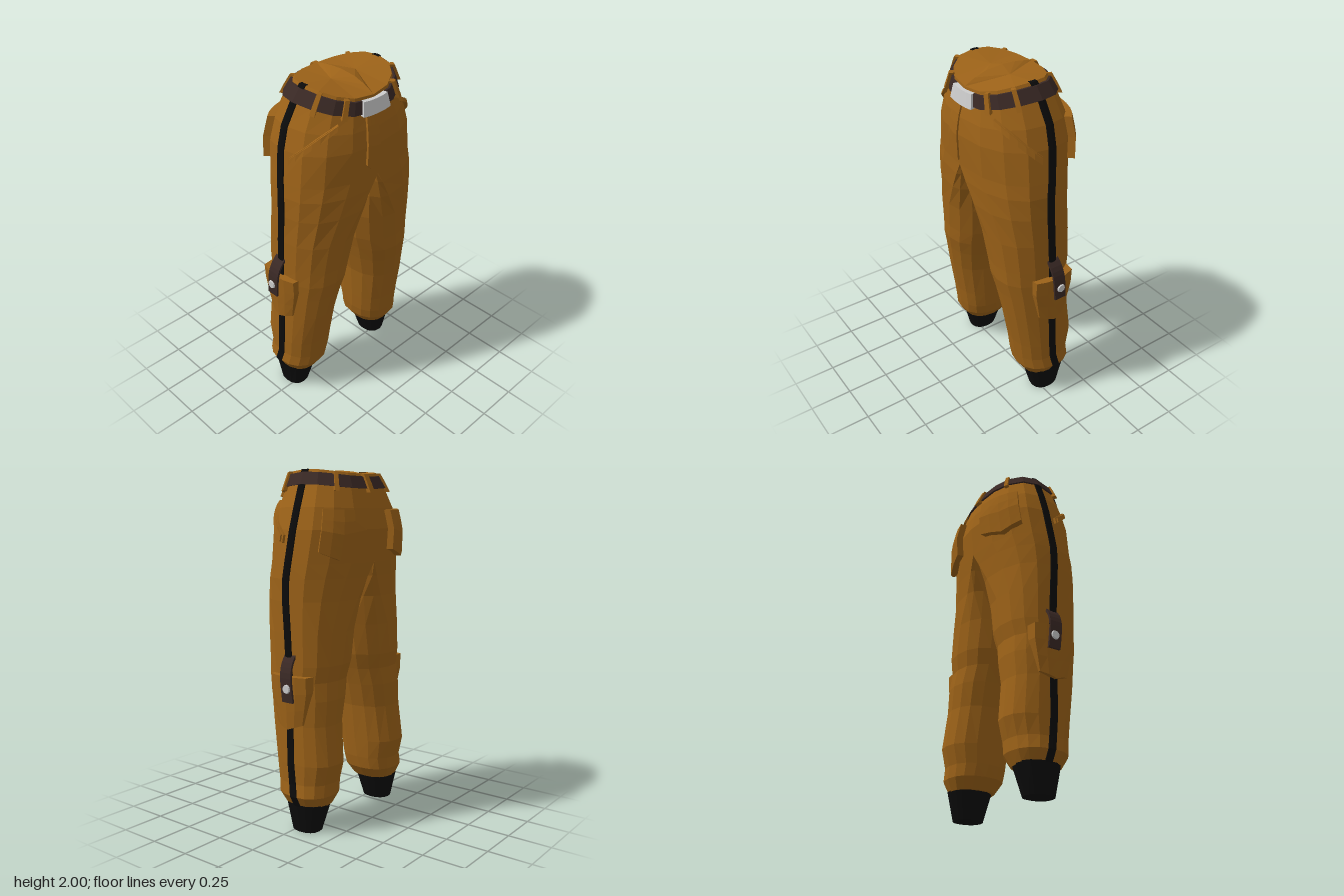
import * as THREE from 'three';

const SIDES = 16, RAD = Math.PI / 180;
const lerp = (a, b, t) => a + (b - a) * t;
const mat = (color) => new THREE.MeshStandardMaterial({ color, flatShading: true });

// Half of the trousers, bottom to top:
// [y, xBack, xMid, xFront, zOuter, zMid, zInner, tilt of the ring towards the waist]
const BODY = [
  [0.155, -0.17, -0.045, 0.09, 0.432, 0.32, 0.205, 0],
  [0.22, -0.2, -0.045, 0.132, 0.468, 0.31, 0.16, 0],
  [0.29, -0.2, -0.03, 0.142, 0.456, 0.3, 0.148, 0],
  [0.4, -0.227, -0.02, 0.155, 0.456, 0.3, 0.138, 0],
  [0.62, -0.2, -0.012, 0.192, 0.45, 0.29, 0.118, 0],
  [0.76, -0.202, -0.01, 0.215, 0.448, 0.27, 0.085, 0],
  [0.86, -0.19, -0.008, 0.236, 0.447, 0.25, 0.058, 0],
  [0.95, -0.207, -0.005, 0.24, 0.446, 0.235, 0.03, 0],
  [1.13, -0.21, 0.005, 0.257, 0.445, 0.2, 0.002, 0],
  [1.3, -0.22, 0.017, 0.282, 0.444, 0.11, 0, 0],
  [1.42, -0.237, 0.018, 0.294, 0.44, 0.045, 0, 0],
  [1.5, -0.25, 0.01, 0.297, 0.432, 0, 0, 0],
  [1.68, -0.267, -0.005, 0.302, 0.406, 0, 0, 0],
  [1.8, -0.243, -0.008, 0.288, 0.372, 0, 0, 0.4],
  [1.92, -0.205, 0.005, 0.264, 0.315, 0, 0, 1],
  [2.0, -0.165, 0.02, 0.25, 0.268, 0, 0, 1],
];

const CUFF = [
  [0.0, -0.13, -0.045, 0.04, 0.415, 0.345, 0.272, 0],
  [0.165, -0.172, -0.045, 0.08, 0.44, 0.33, 0.22, 0],
];

// Point on a ring at an angle: 0 = front, 90 = outer side, 180 = back
function ringPoint([y, xb, xm, xf, zo, zm, zi, tilt], deg, off = 0) {
  const c = Math.cos(deg * RAD), s = Math.sin(deg * RAD);
  const round = (v) => (Math.abs(v) < 1e-6 ? 0 : Math.sign(v) * Math.abs(v) ** 0.87);
  const rx = c > 0 ? xf - xm : xm - xb, rz = s > 0 ? zo - zm : zm - zi;
  const n = new THREE.Vector2(c / rx, s / (rz || 1)).normalize();
  const drop = tilt * c * c * (c > 0 ? 0.065 : 0.022);
  return new THREE.Vector3(xm + rx * round(c) + off * n.x, y - drop, zm + rz * round(s) + off * n.y);
}

// Point on the trouser surface at a height and angle, moved outwards by off
function surf(y, deg, off) {
  let i = 0;
  while (i < BODY.length - 2 && y > BODY[i + 1][0]) i++;
  const t = (y - BODY[i][0]) / (BODY[i + 1][0] - BODY[i][0]);
  return ringPoint(BODY[i].map((v, k) => lerp(v, BODY[i + 1][k], t)), deg, off);
}

// Closed skin over a stack of rings
function loft(rings) {
  const pos = [], idx = [];
  rings.forEach((r) => {
    for (let i = 0; i < SIDES; i++) pos.push(...ringPoint(r, (i * 360) / SIDES).toArray());
  });
  const last = (rings.length - 1) * SIDES, base = rings.length * SIDES;
  for (const start of [0, last]) {
    const c = new THREE.Vector3();
    for (let i = 0; i < SIDES; i++) c.add(new THREE.Vector3().fromArray(pos, (start + i) * 3));
    pos.push(...c.divideScalar(SIDES).toArray());
  }
  for (let i = 0; i < SIDES; i++) {
    const k = (i + 1) % SIDES;
    for (let j = 0; j < last; j += SIDES) {
      idx.push(j + i, j + SIDES + i, j + k, j + k, j + SIDES + i, j + SIDES + k);
    }
    idx.push(base, i, k, base + 1, last + k, last + i);
  }
  const g = new THREE.BufferGeometry();
  g.setAttribute('position', new THREE.Float32BufferAttribute(pos, 3));
  g.setIndex(idx);
  return g;
}

// Slab bent by a rule: a runs front to back, b upwards, c outwards (all 0..1)
function panel(nu, nv, rule) {
  const g = new THREE.BoxGeometry(1, 1, 1, nu, nv, 1), p = g.attributes.position;
  for (let i = 0; i < p.count; i++) {
    const v = rule(0.5 - p.getX(i), p.getY(i) + 0.5, p.getZ(i) + 0.5);
    p.setXYZ(i, v.x, v.y, v.z);
  }
  return g;
}

// Patch lying on the trousers between two angles and two heights
const patch = (nu, nv, d0, d1, y0, y1, thick) =>
  panel(nu, nv, (a, b, c) => surf(lerp(y0, y1, b), lerp(d0, d1, a), lerp(-0.02, thick, c)));

// Copy on the other side, with the corner order turned round
function mirrored(geo) {
  const g = geo.clone().scale(1, 1, -1), ix = g.index.array;
  for (let i = 0; i < ix.length; i += 3) [ix[i], ix[i + 1]] = [ix[i + 1], ix[i]];
  return g;
}

export function createModel() {
  const model = new THREE.Group();
  model.name = 'trousers';
  const cloth = mat(0x9c6218), leather = mat(0x3a2925), black = mat(0x0b0b0b), metal = mat(0xcccccc);

  const add = (name, geo, material, both = true) => {
    for (const g of both ? [geo, mirrored(geo)] : [geo]) {
      g.deleteAttribute('normal');
      g.computeVertexNormals();
      const m = new THREE.Mesh(g, material);
      m.name = name + (both ? (g === geo ? 'PlusZ' : 'MinusZ') : '');
      model.add(m);
    }
  };

  // Legs with hips, and ankle cuffs
  add('trouserLeg', loft(BODY), cloth);
  add('ankleCuff', loft(CUFF), black);

  // Side stripe following the outer seam
  add('sideStripe', panel(2, BODY.length - 1, (a, b, c) => {
    const ring = BODY[Math.round(b * (BODY.length - 1))];
    const p = ringPoint(ring, 90, lerp(-0.015, 0.006, c));
    p.x += 0.022 * (1 - 2 * a);
    p.z -= 0.003 * Math.abs(1 - 2 * a);
    return p;
  }), black);

  // Belt, buckle and belt loops
  add('belt', patch(8, 1, 0, 180, 1.918, 1.985, 0.012), leather);
  add('buckle', patch(2, 1, 0, 14, 1.908, 1.988, 0.022), metal);
  for (const deg of [33, 65, 137]) {
    add('beltLoop', patch(1, 2, deg - 2.6, deg + 2.6, 1.895, 1.998, 0.024), cloth);
  }
  add('backBeltLoop', patch(1, 2, 177.5, 180, 1.895, 1.998, 0.024), cloth);

  // Fly flap, on one side only, rounded off at the bottom
  add('fly', panel(3, 5, (a, b, c) =>
    surf(lerp(1.53 + 0.05 * a * a, 1.9, b), 9.5 * a, lerp(-0.02, 0.01, c))), cloth, false);

  // Slanted front pocket edges
  add('frontPocketEdge', panel(6, 1, (a, b, c) =>
    surf(lerp(1.85, 1.635, a) + 0.035 * (b - 0.5), lerp(38, 80, a), lerp(-0.02, 0.017, c))), cloth);
  add('frontPocketLining', panel(6, 2, (a, b, c) =>
    surf(lerp(lerp(1.81, 1.61, a), lerp(1.85, 1.65, a), b), lerp(42, 82, a), lerp(-0.02, 0.008, c))), cloth);

  // Back pockets with a pointed lower edge
  add('backPocket', panel(4, 4, (a, b, c) => {
    const low = 1.565 - 0.045 * (1 - Math.abs(2 * a - 1));
    return surf(lerp(low, 1.79, b), lerp(122, 165, a), lerp(-0.03, 0.034, c));
  }), cloth);

  // Cargo pocket on the outer knee
  add('cargoPocket', panel(4, 3, (a, b, c) => {
    const k = 1 - 2 * a;
    return new THREE.Vector3(
      -0.011 + k * lerp(0.092, 0.128, Math.min(1, b * 1.5)) * lerp(1, 0.95, c),
      lerp(0.632 - 0.03 * (1 - Math.abs(k)), 0.9, b),
      lerp(0.4, lerp(0.475, 0.487, b) - 0.026 * k * k, c));
  }), cloth);

  // Strap arching from the leg over the pocket, with its stud
  const path = new THREE.CatmullRomCurve3([[0.485, 0.76], [0.488, 0.86], [0.482, 0.92], [0.462, 0.97], [0.43, 1.01]]
    .map(([z, y]) => new THREE.Vector3(lerp(-0.033, -0.008, (y - 0.76) / 0.25), y, z)));
  add('pocketStrap', panel(1, 8, (a, b, c) => {
    const p = path.getPoint(b), t = path.getTangent(b);
    const off = lerp(-0.004, 0.009, c);
    return new THREE.Vector3(p.x + 0.037 * (1 - 2 * a), p.y - off * t.z, p.z + off * t.y);
  }), leather);
  add('strapStud', new THREE.CylinderGeometry(0.022, 0.027, 0.012, 12)
    .rotateX(Math.PI / 2).translate(-0.03, 0.835, 0.499), metal);

  return model;
}
